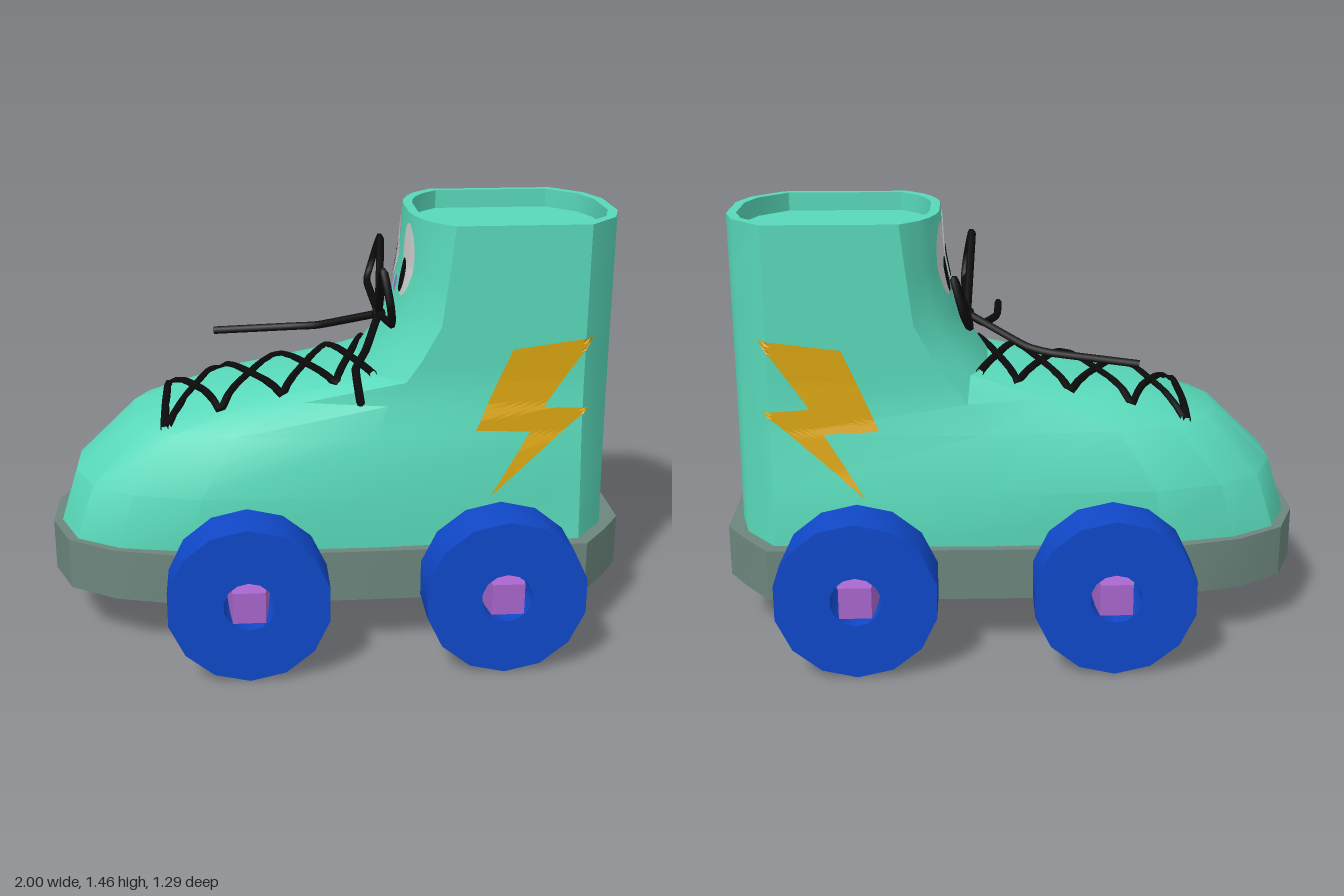
import * as THREE from 'three';
import { toCreasedNormals } from 'three/addons/utils/BufferGeometryUtils.js';

const paint = (name, color, side = THREE.FrontSide) => {
  const m = new THREE.MeshStandardMaterial({ color, side });
  m.name = name;
  return m;
};

// Skins a stack of closed loops, each a list of [x, y, z]
function loft(loops, crease) {
  const n = loops[0].length, index = [];
  for (let i = 0; i < loops.length - 1; i++) {
    for (let j = 0; j < n; j++) {
      const a = i * n + j, b = i * n + (j + 1) % n;
      index.push(a, b, b + n, a, b + n, a + n);
    }
  }
  const g = new THREE.BufferGeometry();
  g.setAttribute('position', new THREE.Float32BufferAttribute(loops.flat(2), 3));
  g.setIndex(index);
  return toCreasedNormals(g, crease);
}

// Mirrors half an outline (toe to heel) into a full loop at height y
const loopAt = (y, half) => [
  ...half.map(([x, z]) => [x, y, z]),
  ...half.slice().reverse().map(([x, z]) => [x, y, -z]),
];
const scaleLoop = (loop, y, s, cx) => loop.map(([x, , z]) => [cx + (x - cx) * s, y, z * s]);

// Splits every triangle in four, `times` over, then moves each vertex by a rule
function drape(geometry, times, place) {
  const p = geometry.toNonIndexed().getAttribute('position');
  let tris = [];
  for (let i = 0; i < p.count; i += 3) {
    tris.push([0, 1, 2].map((k) => new THREE.Vector3().fromBufferAttribute(p, i + k)));
  }
  for (let t = 0; t < times; t++) {
    tris = tris.flatMap(([a, b, c]) => {
      const [ab, bc, ca] = [[a, b], [b, c], [c, a]].map(([u, v]) => u.clone().lerp(v, 0.5));
      return [[a, ab, ca], [ab, b, bc], [ca, bc, c], [ab, bc, ca]];
    });
  }
  const g = new THREE.BufferGeometry().setFromPoints(tris.flat().map(place));
  g.computeVertexNormals();
  return g;
}

export function createModel() {
  const teal = paint('teal leather', 0x58d8b9);
  const grey = paint('grey sole', 0x6c867d);
  const blue = paint('blue wheel', 0x1048c8);
  const purple = paint('purple axle', 0xa866cc, THREE.DoubleSide);
  const gold = paint('gold bolt', 0xd8a410, THREE.DoubleSide);
  const black = paint('black lace', 0x0b0b0b, THREE.DoubleSide);
  const white = paint('pale eye', 0xcccccc, THREE.DoubleSide);

  const model = new THREE.Group();
  const add = (name, geometry, material) => {
    const mesh = new THREE.Mesh(geometry, material);
    mesh.name = name;
    model.add(mesh);
    return mesh;
  };

  // Sole
  const soleHalf = [[-1, 0.1], [-0.93, 0.27], [-0.77, 0.37], [-0.52, 0.435], [0.1, 0.44],
    [0.84, 0.43], [0.93, 0.315], [1, 0.21]];
  const soleLow = loopAt(0.19, soleHalf), soleTop = loopAt(0.37, soleHalf);
  add('sole', loft([scaleLoop(soleLow, 0.19, 0, 0), soleLow, soleTop, scaleLoop(soleTop, 0.37, 0, 0)], 0.5), grey);

  // Boot: height, five toe-to-ankle points, half width at the heel
  const sections = [
    [0.37, [[-0.97, 0.09], [-0.9, 0.26], [-0.75, 0.35], [-0.5, 0.4], [0.1, 0.41]], 0.385],
    [0.56, [[-0.91, 0.09], [-0.84, 0.25], [-0.7, 0.345], [-0.47, 0.405], [0.1, 0.415]], 0.365],
    [0.75, [[-0.71, 0.1], [-0.66, 0.2], [-0.55, 0.28], [-0.35, 0.33], [0.12, 0.365]], 0.34],
    [0.85, [[-0.42, 0.1], [-0.36, 0.17], [-0.26, 0.23], [-0.12, 0.275], [0.16, 0.335]], 0.335],
    [0.93, [[0.09, 0.09], [0.1, 0.15], [0.12, 0.21], [0.15, 0.26], [0.22, 0.33]], 0.33],
    [1.0, [[0.14, 0.09], [0.15, 0.15], [0.17, 0.21], [0.2, 0.265], [0.27, 0.33]], 0.33],
    [1.12, [[0.21, 0.09], [0.22, 0.15], [0.24, 0.21], [0.27, 0.265], [0.335, 0.33]], 0.33],
    [1.28, [[0.24, 0.09], [0.25, 0.15], [0.27, 0.21], [0.3, 0.265], [0.355, 0.33]], 0.33],
    [1.455, [[0.25, 0.09], [0.26, 0.15], [0.28, 0.21], [0.31, 0.265], [0.375, 0.33]], 0.33],
  ];
  const bootLoops = sections.map(([y, toe, w]) =>
    loopAt(y, [...toe, [0.82, w], [0.925, w * 0.66], [0.96, w * 0.32]]));
  const rim = bootLoops[bootLoops.length - 1];
  for (const [y, s] of [[1.455, 0.91], [1.39, 0.91], [1.39, 0]]) bootLoops.push(scaleLoop(rim, y, s, 0.605));
  const boot = add('boot', loft(bootLoops, 0.5), teal);

  // Finds the boot surface along a direction
  const caster = new THREE.Raycaster();
  const onBoot = (x, y, z, dx, dy, dz) => {
    caster.set(new THREE.Vector3(x + 1e-4, y + 1e-4, z + 1e-4), new THREE.Vector3(dx, dy, dz));
    const hit = caster.intersectObject(boot)[0];
    return hit ? hit.point : new THREE.Vector3(x, y, z);
  };

  // Lightning bolts on both sides
  const bolt = new THREE.ShapeGeometry(new THREE.Shape([[0.575, 1.04], [0.845, 1.075], [0.685, 0.84],
    [0.84, 0.83], [0.505, 0.54], [0.64, 0.755], [0.455, 0.765]].map(([x, y]) => new THREE.Vector2(x, y))));
  for (const s of [1, -1]) {
    add(s > 0 ? 'frontBolt' : 'backBolt', drape(bolt, 4, (v) => {
      const p = onBoot(v.x, v.y, s, 0, 0, -s);
      p.z += s * 0.008;
      if (v.x > 0.81) p.x += 0.004;
      return p;
    }), gold);
  }

  // Face on the ankle front
  const patch = (name, y, z, ry, rz, lift, material) =>
    add(name, drape(new THREE.CircleGeometry(1, 18), 2, (v) => {
      const p = onBoot(-1, y + v.y * ry, z + v.x * rz, 1, 0, 0);
      p.x -= lift;
      return p;
    }), material);
  for (const s of [1, -1]) {
    patch('eye', 1.3, s * 0.12, 0.125, 0.065, 0.005, white);
    patch('pupil', 1.245, s * 0.11, 0.06, 0.026, 0.009, black);
  }
  patch('nose', 1.19, 0, 0.028, 0.025, 0.006, purple);

  // Laces crossing over the instep
  const cord = (name, points, segments, tension = 0.15) => add(name, new THREE.TubeGeometry(
    new THREE.CatmullRomCurve3(points, false, 'catmullrom', tension), segments, 0.014, 6), black);
  const onInstep = (x, z) => {
    const p = onBoot(x, 3, z, 0, -1, 0);
    p.y += 0.004;
    return p;
  };
  const lacePath = (corners) => {
    const points = [];
    corners.forEach(([x, z], i) => {
      const [nx, nz] = corners[i + 1] || [x, z];
      const steps = corners[i + 1] ? 8 : 1;
      for (let k = 0; k < steps; k++) points.push(onInstep(x + (nx - x) * k / steps, z + (nz - z) * k / steps));
    });
    return points;
  };
  for (const s of [1, -1]) {
    const corners = [-0.58, -0.4, -0.19, -0.01, 0.12].map((x, i) => [x, (i % 2 ? -s : s) * 0.235]);
    cord('crossLace', lacePath(corners), 96);
  }
  cord('toeLace', lacePath([[-0.59, -0.245], [-0.59, 0.245]]), 24);

  // Bow: two loops and two loose ends
  const bow = (name, ...pts) => cord(name, pts.map((p) => new THREE.Vector3(...p)), 32, 0.2);
  const knot = [0.16, 1.08, 0];
  bow('frontBowLoop', knot, [0.14, 1.31, 0.31], [0.16, 1.21, 0.355], [0.17, 1.13, 0.32], knot);
  bow('backBowLoop', knot, [0.2, 1.28, -0.34], [0.17, 1.17, -0.375], [0.15, 1.115, -0.33], knot);
  bow('toeLaceEnd', knot, [-0.04, 1.0, -0.15], [-0.13, 0.985, -0.19], [-0.42, 0.96, -0.245]);
  bow('sideLaceEnd', knot, [0.1, 1.0, 0.17], [0.05, 0.985, 0.34], [0.04, 0.965, 0.62]);
  const knotMesh = add('bowKnot', new THREE.SphereGeometry(0.025, 8, 6), black);
  knotMesh.position.set(...knot);

  // Wheels with open hubs, on tapered square axles
  const rimProfile = [[0.085, -0.0875], [0.272, -0.0875], [0.272, 0.0875], [0.085, 0.0875], [0.085, -0.0875]]
    .map(([r, y]) => new THREE.Vector2(r, y));
  const wheelGeo = toCreasedNormals(new THREE.LatheGeometry(rimProfile, 14).rotateX(Math.PI / 2), 0.6);
  const axleGeo = toCreasedNormals(
    new THREE.CylinderGeometry(0.076, 0.108, 0.235, 4).rotateY(Math.PI / 4).rotateX(Math.PI / 2), 0.5);
  for (const x of [-0.32, 0.53]) {
    for (const s of [1, -1]) {
      add('wheel', wheelGeo, blue).position.set(x, 0.272, s * 0.54);
      const axle = add('axle', axleGeo, purple);
      axle.position.set(x, 0.277, s * 0.5275);
      if (s < 0) axle.rotation.y = Math.PI;
    }
  }
  return model;
}
